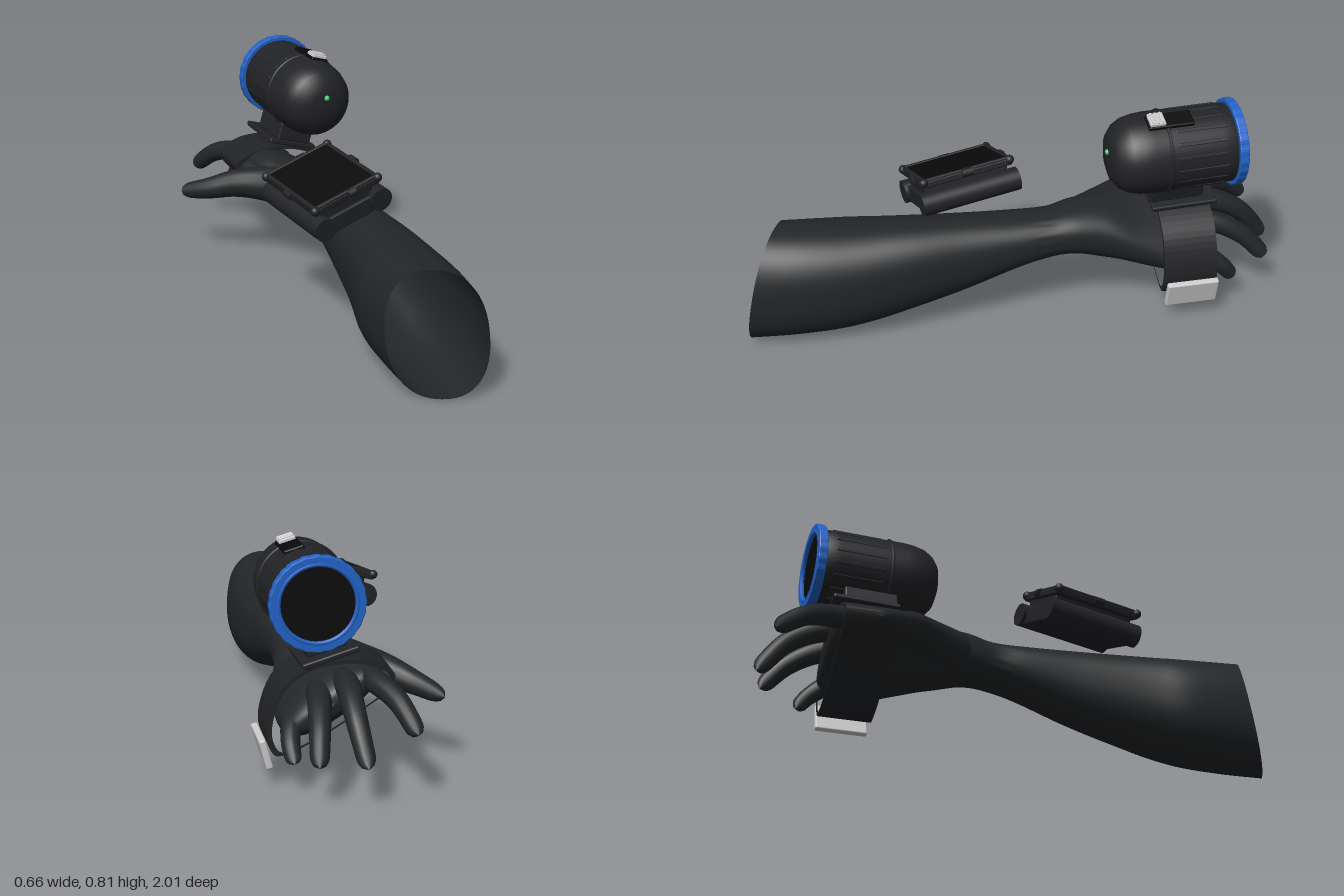
import * as THREE from 'three';
import { RoundedBoxGeometry } from 'three/addons/geometries/RoundedBoxGeometry.js';

const mat = (color, side = THREE.FrontSide) => new THREE.MeshStandardMaterial({ color, side });
const skin = mat(0x232527, THREE.DoubleSide);
const dark = mat(0x222326);
const black = mat(0x0a0a0b);
const blue = mat(0x2263c8);
const light = mat(0xcccccc);
const green = mat(0x3fcf7f);

function add(parent, name, geometry, material, x = 0, y = 0, z = 0) {
  const mesh = new THREE.Mesh(geometry, material);
  mesh.name = name;
  mesh.position.set(x, y, z);
  parent.add(mesh);
  return mesh;
}
const box = (w, h, d, r = 0.006) => new RoundedBoxGeometry(w, h, d, 2, r);
const rod = (r, length, sides = 28) => new THREE.CylinderGeometry(r, r, length, sides).rotateX(Math.PI / 2);

// Forearm and palm: tilted oval sections [z, cx, cy, rx, ry, tilt], open at the elbow
function armGeometry() {
  const sections = [
    [0.915, 0.05, 0.215, 0.158, 0.215, 0], [0.76, 0.063, 0.215, 0.172, 0.21, 0],
    [0.6, 0.072, 0.22, 0.172, 0.2, 0], [0.4, 0.088, 0.245, 0.148, 0.172, 0],
    [0.2, 0.095, 0.27, 0.125, 0.14, 0], [0, 0.1, 0.302, 0.11, 0.1, 0],
    [-0.12, 0.103, 0.317, 0.102, 0.085, 0], [-0.22, 0.095, 0.325, 0.114, 0.09, -0.1],
    [-0.33, 0.09, 0.312, 0.128, 0.102, -0.25], [-0.45, 0.08, 0.3, 0.168, 0.095, -0.45],
    [-0.58, 0.082, 0.288, 0.195, 0.084, -0.57], [-0.68, 0.085, 0.28, 0.185, 0.07, -0.57],
    [-0.74, 0.085, 0.28, 0.145, 0.04, -0.57], [-0.755, 0.085, 0.28, 0.002, 0.002, -0.57],
  ];
  const curve = (f) => new THREE.CatmullRomCurve3(sections.map(f), false, 'catmullrom', 0.5);
  const centres = curve((s) => new THREE.Vector3(s[1], s[2], s[0]));
  const sizes = curve((s) => new THREE.Vector3(s[3], s[4], s[5]));
  const rings = 96, sides = 72, positions = [], index = [];
  for (let i = 0; i <= rings; i++) {
    const c = centres.getPoint(i / rings), s = sizes.getPoint(i / rings);
    // Lengthwise creases at the wrist, slanted cut at the elbow
    const crease = 0.012 * Math.max(0, 1 - Math.abs(c.z + 0.1) / 0.07);
    const slant = Math.max(0, (c.z - 0.5) / 0.415);
    for (let j = 0; j < sides; j++) {
      const a = (j / sides) * Math.PI * 2;
      const r = 1 + crease * Math.sin(a * 18);
      const square = (v) => Math.sign(v) * Math.abs(v) ** 0.87;
      const u = square(Math.cos(a)) * s.x * r, v = square(Math.sin(a)) * s.y * r;
      const dx = u * Math.cos(s.z) - v * Math.sin(s.z);
      const dy = u * Math.sin(s.z) + v * Math.cos(s.z);
      positions.push(c.x + dx, c.y + dy, c.z + slant * (0.45 * dx - 0.2 * dy));
      if (i < rings) {
        const p = i * sides + j, q = i * sides + ((j + 1) % sides);
        index.push(p, p + sides, q, q, p + sides, q + sides);
      }
    }
  }
  const geometry = new THREE.BufferGeometry();
  geometry.setAttribute('position', new THREE.Float32BufferAttribute(positions, 3));
  geometry.setIndex(index);
  geometry.computeVertexNormals();
  return geometry;
}

// Tube that narrows from r0 to r1 and closes in a rounded tip
function fingerGeometry(points, r0, r1) {
  const path = new THREE.CatmullRomCurve3(points.map((p) => new THREE.Vector3(...p)));
  const rings = 36, sides = 16, tip = 0.9;
  const geometry = new THREE.TubeGeometry(path, rings, 1, sides);
  const pos = geometry.attributes.position, v = new THREE.Vector3();
  for (let i = 0; i <= rings; i++) {
    const t = i / rings, p = path.getPointAt(t);
    const round = t > tip ? Math.sqrt(Math.max(0, 1 - ((t - tip) / (1 - tip)) ** 2)) : 1;
    const r = (r0 + (r1 - r0) * t) * round;
    for (let j = 0; j <= sides; j++) {
      const k = i * (sides + 1) + j;
      v.fromBufferAttribute(pos, k).sub(p).multiplyScalar(r).add(p);
      pos.setXYZ(k, v.x, v.y, v.z);
    }
  }
  return geometry;
}

// Flat band around the palm with a light buckle
function handStrap() {
  const group = new THREE.Group();
  group.name = 'handStrap';
  const outline = [[-0.13, 0.37], [-0.06, 0.415], [0.06, 0.425], [0.16, 0.405], [0.25, 0.34], [0.295, 0.24],
    [0.302, 0.16], [0.275, 0.107], [0.23, 0.112], [0.1, 0.175], [-0.02, 0.25], [-0.115, 0.32]];
  const loop = (s) => new THREE.CatmullRomCurve3(
    outline.map(([x, y]) => new THREE.Vector3(0.085 + (x - 0.085) * s, 0.27 + (y - 0.27) * s, 0)), true)
    .getPoints(60).map((p) => new THREE.Vector2(p.x, p.y));
  const shape = new THREE.Shape(loop(1));
  shape.holes.push(new THREE.Path(loop(0.92)));
  add(group, 'strapBand', new THREE.ExtrudeGeometry(shape, { depth: 0.2, bevelEnabled: false }), dark, 0, 0, -0.72);
  add(group, 'buckle', box(0.024, 0.104, 0.195), light, 0.306, 0.112, -0.625).rotation.z = -0.26;
  return group;
}

// Lamp above the hand; its lens looks towards -z
function lamp() {
  const group = new THREE.Group();
  group.name = 'lamp';
  group.position.set(0.152, 0.641, -0.57);
  group.rotation.set(0.015, 0.03, -0.28);
  const profile = [[0.13, -0.215], [0.144, -0.21], [0.147, -0.15], [0.148, 0], [0.149, 0.1], [0.146, 0.14],
    [0.137, 0.18], [0.119, 0.212], [0.09, 0.236], [0.05, 0.248], [0, 0.25]]
    .map(([r, z]) => new THREE.Vector2(r, z));
  add(group, 'lampBody', new THREE.LatheGeometry(profile, 48).rotateX(Math.PI / 2), dark);
  add(group, 'lampBand', new THREE.TorusGeometry(0.148, 0.006, 8, 48), dark, 0, 0, 0.045);

  // Lengthwise ribs
  for (let i = 0; i < 18; i++) {
    const a = ((i + 0.5) / 18) * Math.PI * 2;
    add(group, 'rib', box(0.009, 0.014, 0.19, 0.003), dark,
      Math.cos(a) * 0.145, Math.sin(a) * 0.145, -0.075).rotation.z = a;
  }

  // Scalloped lens ring
  const edge = [];
  for (let i = 0; i < 120; i++) {
    const a = (i / 120) * Math.PI * 2, r = 0.156 + 0.0012 * Math.cos(a * 24);
    edge.push(new THREE.Vector2(Math.cos(a) * r, Math.sin(a) * r));
  }
  const ring = new THREE.Shape(edge);
  ring.holes.push(new THREE.Path().absarc(0, 0, 0.13, 0, Math.PI * 2, true));
  const bevel = { depth: 0.026, bevelSize: 0.004, bevelThickness: 0.004, bevelSegments: 2, curveSegments: 48 };
  add(group, 'lensRing', new THREE.ExtrudeGeometry(ring, bevel), blue, 0, 0, -0.234);
  add(group, 'lensRim', new THREE.TorusGeometry(0.131, 0.008, 8, 48), blue, 0, 0, -0.232);
  add(group, 'lens', rod(0.13, 0.01, 48), black, 0, 0, -0.22);

  // Switch on top, indicator on the dome, mounting plates below
  add(group, 'switchPlate', box(0.072, 0.02, 0.17), black, 0, 0.146, 0.03);
  add(group, 'switchBase', box(0.06, 0.022, 0.058, 0.004), light, 0, 0.156, 0.08);
  for (let i = -1; i <= 1; i++) {
    add(group, 'switchRidge', box(0.056, 0.008, 0.01, 0.003), light, 0, 0.168, 0.08 + i * 0.017);
  }
  add(group, 'indicator', new THREE.SphereGeometry(0.011, 16, 12), green, 0.003, 0.032, 0.248);
  add(group, 'mountBlock', box(0.14, 0.07, 0.2), dark, 0, -0.165, -0.02);
  add(group, 'mountPlate', box(0.2, 0.02, 0.25), dark, 0, -0.21, -0.045);
  return group;
}

// Tilted display with two side rollers on the forearm
function wristDisplay() {
  const group = new THREE.Group();
  group.name = 'wristDisplay';
  group.position.set(-0.043, 0.473, 0.18);
  group.rotation.set(0.09, 0.17, 0.29);
  add(group, 'base', box(0.24, 0.065, 0.35), dark, 0, -0.01, 0);
  add(group, 'riser', box(0.22, 0.05, 0.32), dark, 0, 0.04, 0);
  add(group, 'screenCase', box(0.28, 0.026, 0.345), dark, 0, 0.068, 0);
  add(group, 'screen', box(0.25, 0.008, 0.315, 0.003), black, 0, 0.081, 0);
  for (const s of [-1, 1]) {
    add(group, 'roller', rod(0.043, 0.375), dark, s * 0.12, -0.004, 0);
    add(group, 'sideBezel', box(0.016, 0.014, 0.345), dark, s * 0.131, 0.082, 0);
    add(group, 'endBezel', box(0.27, 0.014, 0.016), dark, 0, 0.082, s * 0.163);
    // Knobs at the corners and edge middles
    for (const t of [-1, 1]) {
      add(group, 'cornerKnob', new THREE.SphereGeometry(0.017, 14, 10), dark, s * 0.134, 0.076, t * 0.166);
    }
    add(group, 'sideKnob', rod(0.015, 0.04, 14), dark, s * 0.138, 0.074, 0);
    add(group, 'endKnob', rod(0.015, 0.03, 14).rotateY(Math.PI / 2), dark, 0.02, 0.074, s * 0.17);
  }
  return group;
}

export function createModel() {
  const model = new THREE.Group();
  model.name = 'armWithLamp';
  add(model, 'forearmAndPalm', armGeometry(), skin);
  const fingers = {
    thumbBase: [[[0.07, 0.32, -0.24], [0.01, 0.325, -0.36], [-0.055, 0.33, -0.46], [-0.085, 0.35, -0.58]], 0.08, 0.04],
    thumb: [[[0.04, 0.325, -0.28], [-0.06, 0.325, -0.4], [-0.15, 0.312, -0.48], [-0.24, 0.28, -0.55], [-0.325, 0.25, -0.64]], 0.085, 0.028],
    indexFinger: [[[-0.03, 0.36, -0.6], [-0.06, 0.355, -0.74], [-0.11, 0.32, -0.85], [-0.155, 0.235, -0.965]], 0.047, 0.031],
    middleFinger: [[[0.03, 0.34, -0.6], [0.035, 0.342, -0.75], [0.035, 0.28, -0.88], [0.015, 0.14, -0.995]], 0.048, 0.031],
    ringFinger: [[[0.11, 0.3, -0.6], [0.13, 0.3, -0.74], [0.15, 0.24, -0.86], [0.168, 0.14, -0.955]], 0.047, 0.031],
    littleFinger: [[[0.19, 0.22, -0.58], [0.215, 0.21, -0.69], [0.23, 0.165, -0.76], [0.225, 0.105, -0.81]], 0.045, 0.027],
  };
  for (const [name, args] of Object.entries(fingers)) add(model, name, fingerGeometry(...args), skin);
  model.add(handStrap(), lamp(), wristDisplay());
  return model;
}
